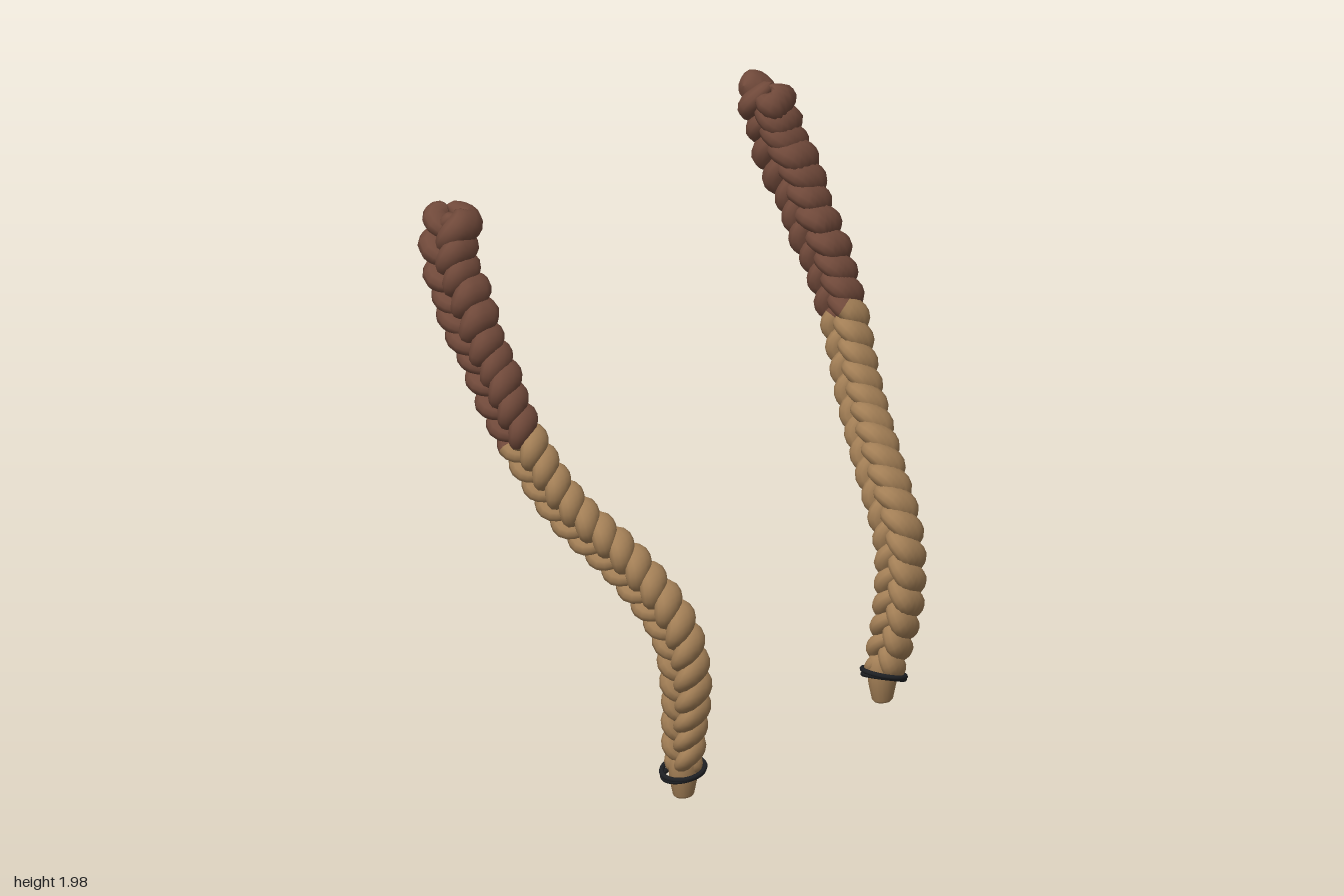
import * as THREE from 'three';

const tan = new THREE.MeshStandardMaterial({ color: 0xa37f56 });
tan.name = 'tan hair';
const brown = new THREE.MeshStandardMaterial({ color: 0x70493a });
brown.name = 'dark brown hair';
const black = new THREE.MeshStandardMaterial({ color: 0x1d1f23 });
black.name = 'black elastic';

const PERIOD = 0.23;   // braid length in which a strand swings there and back
const RADIAL = 12;     // points round a strand
const STEP = 0.0075;   // spacing of cross-sections

// Centreline of the braid on the given side, from the tie to the top
function centreline(side, tieY) {
  const points = [
    [0.51, tieY, 0.365], [0.522, 0.22, 0.376], [0.543, 0.4, 0.403], [0.573, 0.6, 0.378],
    [0.64, 0.8, 0.24], [0.75, 1.0, 0.06], [0.82, 1.22, -0.065], [0.84, 1.4, -0.16],
    [0.842, 1.6, -0.27], [0.83, 1.78, -0.36], [0.78, 1.955, -0.395],
  ].map(([x, y, z]) => new THREE.Vector3(side * x, y, z));
  const curve = new THREE.CatmullRomCurve3(points);
  curve.arcLengthDivisions = 600;
  return curve;
}

// Thickness of the braid by height
function thickness(y) {
  const keys = [[0.05, 0.72], [0.16, 0.84], [0.4, 1], [0.7, 1], [1.1, 0.94], [1.35, 1.02], [1.7, 1.16], [2.1, 1.1]];
  for (let i = 1; i < keys.length; i++) {
    const [y0, v0] = keys[i - 1], [y1, v1] = keys[i];
    if (y <= y1) return v0 + (v1 - v0) * THREE.MathUtils.clamp((y - y0) / (y1 - y0), 0, 1);
  }
  return keys.at(-1)[1];
}

// Position of strand k at distance s along the braid, with the outward normal
function strandPoint(curve, side, length, k, s) {
  const u = THREE.MathUtils.clamp(s / length, 0, 1);
  const p = curve.getPointAt(u), t = curve.getTangentAt(u);
  const across = t.clone().cross(new THREE.Vector3(side, 0, 0)).normalize();
  const normal = across.clone().cross(t).normalize();
  const loose = THREE.MathUtils.smoothstep(p.y, 1.2, 1.5);
  const phase = -2 * Math.PI * (s / PERIOD + k / 3) - 0.3 * loose * Math.sin(s * 17 + k * 2.1);
  const size = thickness(p.y) * (1 + 0.07 * loose * Math.sin(s * 31 + k * 4));
  p.addScaledVector(across, 0.042 * size * Math.cos(phase));
  p.addScaledVector(normal, 0.028 * size * Math.sin(2 * phase));
  return { p, normal, size: size * (1 + 0.08 * Math.cos(2 * phase)) };
}

// One strand from s0 to s1, rounded off at the free ends
function strandGeometry(curve, side, length, k, s0, s1, roundStart, roundEnd) {
  const n = Math.ceil((s1 - s0) / STEP), pos = [], index = [];
  const cap = 0.04;
  for (let i = 0; i <= n; i++) {
    const s = s0 + (s1 - s0) * i / n;
    const { p, normal, size } = strandPoint(curve, side, length, k, s);
    const e = 0.002;
    const a = Math.max(s - e, 0), b = Math.min(s + e, length);
    const along = strandPoint(curve, side, length, k, b).p
      .sub(strandPoint(curve, side, length, k, a).p).normalize();
    const wide = along.clone().cross(normal).normalize();
    const deep = wide.clone().cross(along);
    let r = size;
    if (roundStart) r *= Math.sqrt(1 - (1 - Math.min((s - s0) / cap, 1)) ** 2);
    if (roundEnd) r *= Math.sqrt(1 - (1 - Math.min((s1 - s) / cap, 1)) ** 2);
    for (let j = 0; j < RADIAL; j++) {
      const q = 2 * Math.PI * j / RADIAL;
      const v = p.clone().addScaledVector(wide, 0.035 * r * Math.cos(q))
        .addScaledVector(deep, 0.047 * r * Math.sin(q));
      pos.push(v.x, v.y, v.z);
      if (i < n) {
        const A = i * RADIAL + j, C = i * RADIAL + (j + 1) % RADIAL;
        index.push(A, A + RADIAL, C, C, A + RADIAL, C + RADIAL);
      }
    }
  }
  const g = new THREE.BufferGeometry();
  g.setAttribute('position', new THREE.Float32BufferAttribute(pos, 3));
  g.setIndex(index);
  g.computeVertexNormals();
  return g;
}

function addMesh(group, name, geometry, material) {
  const mesh = new THREE.Mesh(geometry, material);
  mesh.name = name;
  group.add(mesh);
  return mesh;
}

function createBraid(side, name, tieY, tilt) {
  const braid = new THREE.Group();
  braid.name = name;
  const curve = centreline(side, tieY), length = curve.getLength();

  // Distance along the braid where the colour changes
  let split = 0;
  while (curve.getPointAt(split / length).y < 1.23) split += 0.005;

  // Three woven strands, each tan below and brown above
  for (let k = 0; k < 3; k++) {
    const change = split + [0, 0.03, -0.02][k];
    const top = length - [0, 0.015, 0.03][k];
    addMesh(braid, 'lowerStrand' + (k + 1),
      strandGeometry(curve, side, length, k, 0, change, true, false), tan);
    addMesh(braid, 'upperStrand' + (k + 1),
      strandGeometry(curve, side, length, k, change, top, false, true), brown);
  }

  // Tapered tuft below the tie
  const profile = [[0, -0.09], [0.03, -0.09], [0.038, -0.082], [0.05, -0.03], [0.056, 0.02], [0.045, 0.07], [0, 0.08]]
    .map(([x, y]) => new THREE.Vector2(x, y));
  const tuft = addMesh(braid, 'tuft', new THREE.LatheGeometry(profile, 16), tan);
  tuft.position.set(side * 0.508, tieY, 0.363);
  tuft.scale.z = 0.85;

  // Elastic tie wound twice
  [[0.007, 0.04, 0.072], [-0.007, -0.09, 0.069]].forEach(([dy, lean, radius], i) => {
    const loop = addMesh(braid, 'tieLoop' + (i + 1),
      new THREE.TorusGeometry(radius, 0.0085, 8, 32).rotateX(Math.PI / 2), black);
    loop.position.set(side * 0.512, tieY + dy, 0.365);
    loop.rotation.set(lean, 0, tilt + lean * 0.5);
  });
  return braid;
}

export function createModel() {
  const model = new THREE.Group();
  model.name = 'pairOfBraids';
  model.add(createBraid(1, 'leftBraid', 0.145, -0.26));
  model.add(createBraid(-1, 'rightBraid', 0.09, 0.24));
  return model;
}
